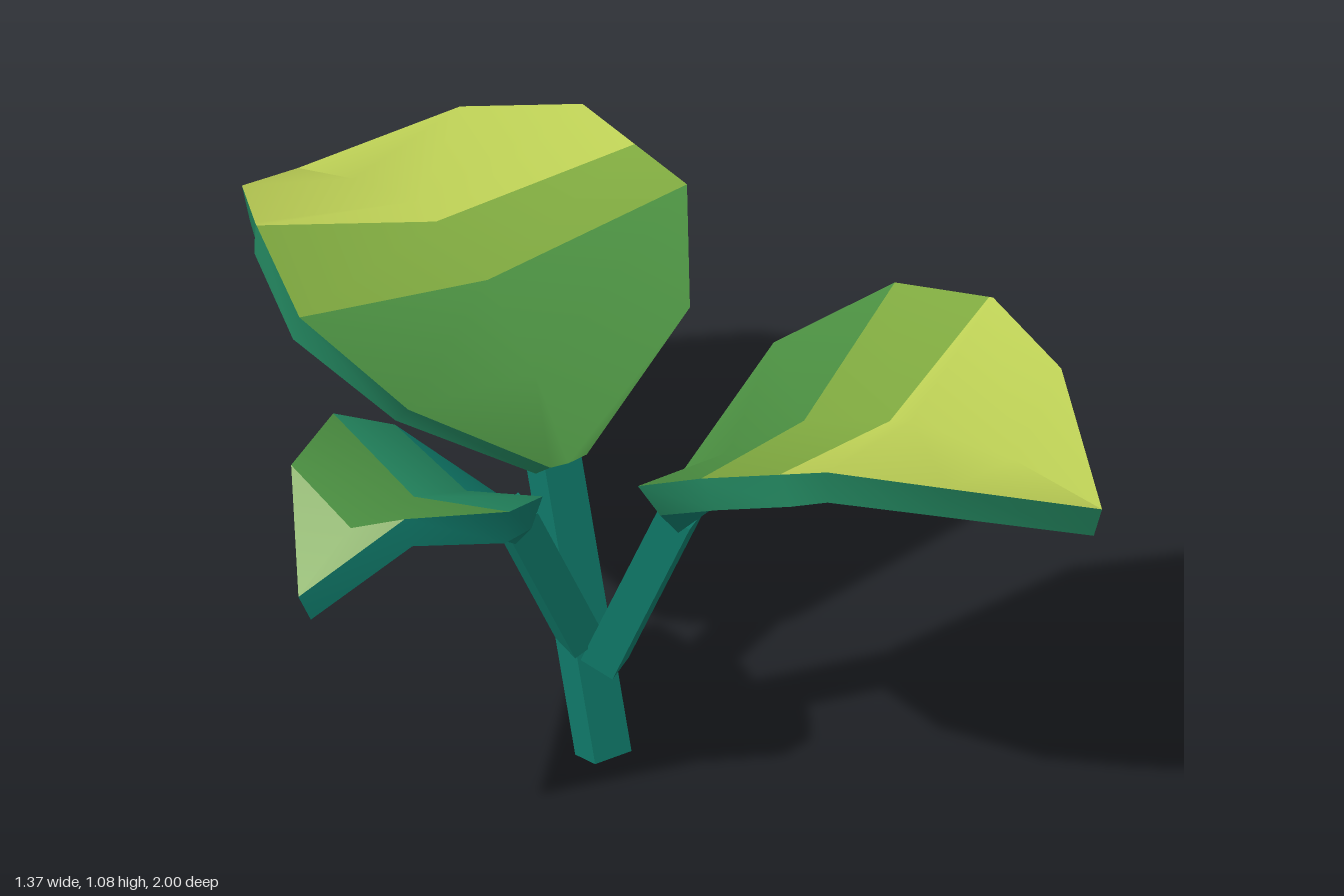
import * as THREE from 'three';

const mat = (name, color) => {
  const m = new THREE.MeshStandardMaterial({ color });
  m.name = name;
  return m;
};

export function createModel() {
  const teal = mat('teal', 0x0f7868);
  const seaGreen = mat('sea green', 0x23865f);
  const green = mat('leaf green', 0x4b8f41);
  const lime = mat('lime green', 0x80aa40);
  const yellow = mat('yellow green', 0xbed156);
  const pale = mat('pale green', 0x9cc17c);
  const plant = new THREE.Group();
  plant.name = 'plant';
  const V = (p) => new THREE.Vector3(...p);

  // Square stalk between two points
  function stalk(name, from, to, w, d) {
    const a = V(from), b = V(to);
    const mesh = new THREE.Mesh(new THREE.BoxGeometry(w, d, a.distanceTo(b)), teal);
    mesh.position.copy(a).lerp(b, 0.5);
    mesh.lookAt(b);
    mesh.name = name;
    plant.add(mesh);
  }

  // One continuous smooth strip; quads are kept in row order
  function strip(name, rows, materials) {
    const geo = new THREE.BufferGeometry();
    const n = rows[0].length, index = [];
    rows.slice(1).forEach((_, i) => {
      geo.addGroup(index.length, (n - 1) * 6, i);
      for (let j = 0; j < n - 1; j++) {
        const a = i * n + j, b = a + 1, c = b + n, d = a + n;
        index.push(a, b, c, a, c, d);
      }
    });
    geo.setFromPoints(rows.flat());
    geo.setIndex(index);
    geo.computeVertexNormals();
    const mesh = new THREE.Mesh(geo, Array.isArray(materials) ? materials : rows.map(() => materials));
    mesh.name = name;
    return mesh;
  }

  // Thick cupped leaf from rows of left, middle and right points, closing at the tip
  function leaf(name, data, bands, edge, under, thick = 0.07) {
    const top = data.map((r) => r.map(V));
    const bottom = top.map((row, i) => {
      const before = top[Math.max(i - 1, 0)][1], after = top[Math.min(i + 1, top.length - 1)][1];
      const across = (i === top.length - 1 ? top[i - 1] : row);
      const normal = across[2].clone().sub(across[0])
        .cross(after.clone().sub(before)).normalize();
      return row.map((p) => p.clone().addScaledVector(normal, -thick));
    });
    const group = new THREE.Group();
    group.name = name;
    group.add(
      strip('leafTop', top, bands),
      strip('leafUnderside', bottom.map((r) => [...r].reverse()), under),
      strip('leafLeftEdge', top.map((r, i) => [bottom[i][0], r[0]]), edge),
      strip('leafRightEdge', top.map((r, i) => [r[2], bottom[i][2]]), edge),
    );
    plant.add(group);
  }

  // Row blended between two others, placing a slanted colour boundary
  const between = (a, b, ts) =>
    a.map((p, j) => p.map((v, k) => v + (b[j][k] - v) * ts[j]));
  const tip = (p) => [p, p, p];

  // Stalks
  stalk('mainStalk', [0.05, 0.015, 0.095], [0.05, 0.6, -0.088], 0.08, 0.075);
  stalk('frontStalk', [0.065, 0.215, 0.075], [0.155, 0.61, 0.205], 0.075, 0.07);
  stalk('sideStalk', [0.03, 0.26, 0.045], [-0.115, 0.6, 0.04], 0.075, 0.07);

  // Back leaf
  const b2 = [[-0.37, 0.935, -0.31], [0.05, 0.855, -0.32], [0.47, 0.935, -0.29]];
  const b3 = [[-0.305, 0.965, -0.575], [0.05, 0.882, -0.57], [0.415, 0.965, -0.575]];
  leaf('backLeaf', [
    [[0.01, 0.615, -0.03], [0.05, 0.61, -0.03], [0.09, 0.615, -0.03]],
    [[-0.26, 0.81, -0.1], [0.05, 0.745, -0.15], [0.36, 0.81, -0.1]],
    b2,
    between(b2, b3, [0.97, 0.74, 0.5]),
    b3,
    [[-0.19, 0.86, -0.81], [0.05, 0.79, -0.8], [0.29, 0.86, -0.81]],
    tip([0.05, 0.69, -1]),
  ], [green, green, lime, yellow, yellow, yellow], seaGreen, seaGreen);

  // Front leaf
  const f2 = [[0.59, 1.005, 0.26], [0.28, 0.915, 0.44], [-0.045, 1.005, 0.6]];
  const f3 = [[0.665, 1.085, 0.49], [0.39, 1.0, 0.645], [0.11, 1.085, 0.8]];
  leaf('frontLeaf', [
    [[0.17, 0.635, 0.155], [0.135, 0.63, 0.175], [0.1, 0.635, 0.195]],
    [[0.4, 0.86, 0.135], [0.2, 0.785, 0.3], [-0.055, 0.86, 0.39]],
    f2,
    between(f2, f3, [0.96, 0.8, 0.62]),
    f3,
    [[0.68, 1.052, 0.71], [0.5, 0.985, 0.83], [0.3, 1.052, 0.925]],
    tip([0.595, 0.935, 0.995]),
  ], [green, green, lime, yellow, yellow, yellow], seaGreen, teal);

  // Small side leaf
  leaf('sideLeaf', [
    [[-0.1, 0.62, 0.08], [-0.11, 0.61, 0.04], [-0.12, 0.62, 0]],
    [[-0.16, 0.77, 0.22], [-0.23, 0.71, 0.06], [-0.27, 0.76, -0.13]],
    [[-0.31, 0.87, 0.345], [-0.37, 0.775, 0.1], [-0.4, 0.83, -0.14]],
    [[-0.5, 0.885, 0.28], [-0.53, 0.785, 0.135], [-0.56, 0.84, -0.03]],
    tip([-0.685, 0.725, 0.2]),
  ], [teal, seaGreen, green, pale], teal, teal, 0.065);

  return plant;
}
